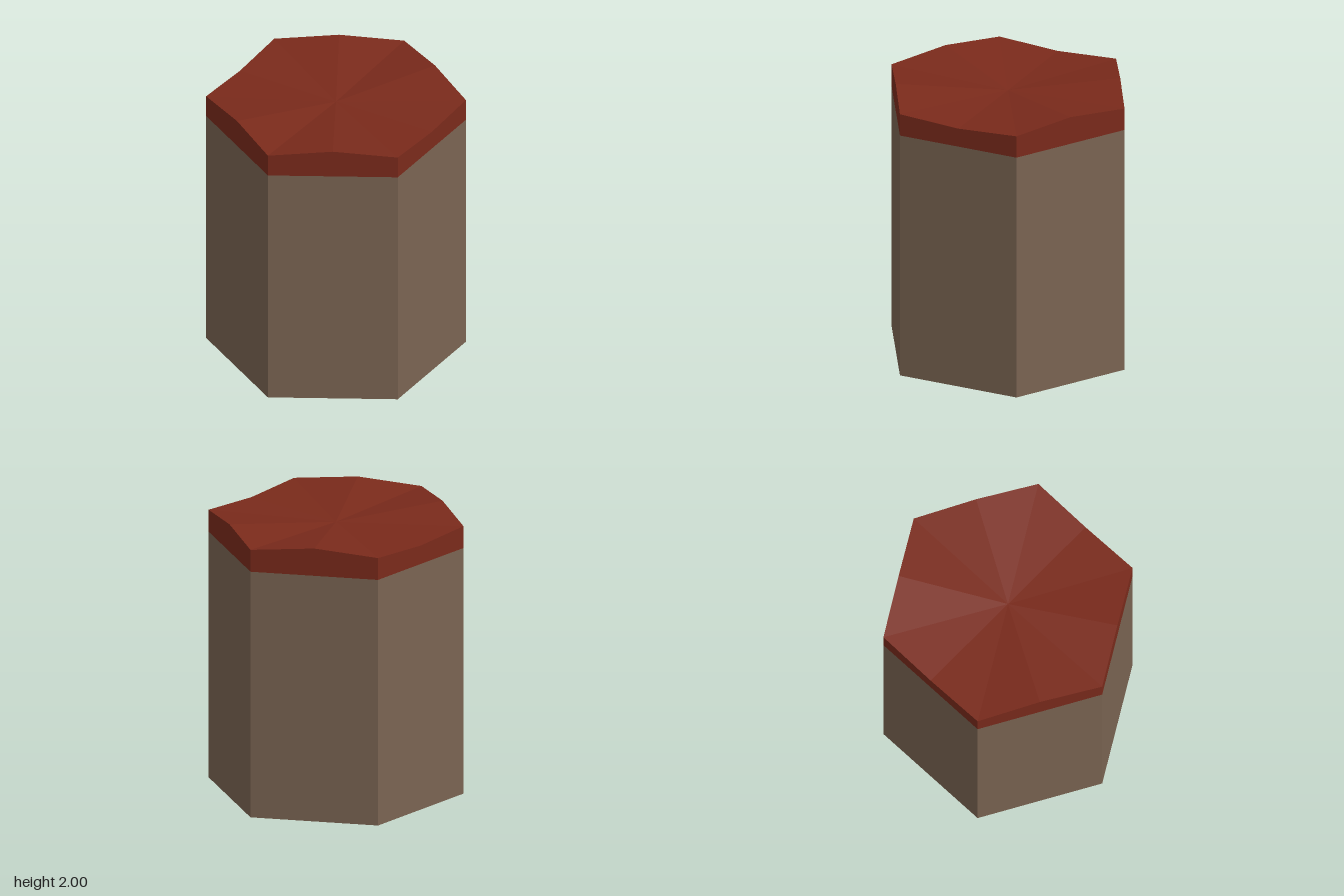
import * as THREE from 'three';

const R = 0.9, SEAM = 1.8, POCKET = 0.27;

// Hexagon corners, starting at the front (+z) and going towards +x
const corner = (i, y) => {
  const a = (i * Math.PI) / 3;
  return new THREE.Vector3(R * Math.sin(a), y, R * Math.cos(a));
};

// Flat-faced geometry from a list of triangles
function fromTriangles(triangles) {
  const g = new THREE.BufferGeometry().setFromPoints(triangles.flat());
  g.computeVertexNormals();
  return g;
}

export function createModel() {
  const group = new THREE.Group();
  const stone = new THREE.MeshStandardMaterial({ color: 0x7a6452, side: THREE.DoubleSide });
  const red = new THREE.MeshStandardMaterial({ color: 0x7a2a1b });
  const add = (name, triangles, material) => {
    const mesh = new THREE.Mesh(fromTriangles(triangles), material);
    mesh.name = name;
    group.add(mesh);
  };

  // Column walls
  const walls = [];
  for (let i = 0; i < 6; i++) {
    const a = corner(i, 0), b = corner(i + 1, 0);
    const c = corner(i + 1, SEAM), d = corner(i, SEAM);
    walls.push([a, b, c], [a, c, d]);
  }
  add('columnWalls', walls, stone);

  // Underside fans out from the back corner, leaving one open wedge
  const fan = (y, skip) => [4, 5, 6, 7]
    .filter((k) => k !== skip)
    .map((k) => [corner(3, y), corner(k + 1, y), corner(k, y)]);
  add('underside', fan(0, 5), stone);

  // Ceiling of the shallow pocket behind the open wedge
  add('pocketCeiling', fan(POCKET), stone);

  // Cap rim: corners level, four edge middles raised, the two side middles dipped
  const rim = [];
  for (let i = 0; i < 6; i++) {
    rim.push(corner(i, 1.96));
    const middle = corner(i, 0).add(corner(i + 1, 0)).multiplyScalar(0.5);
    middle.y = i % 3 === 1 ? 1.935 : 2;
    rim.push(middle);
  }

  // Cap sides and dished top
  const centre = new THREE.Vector3(0, 1.932, 0);
  const sides = [], top = [];
  rim.forEach((p, i) => {
    const q = rim[(i + 1) % rim.length];
    const p0 = p.clone().setY(SEAM), q0 = q.clone().setY(SEAM);
    sides.push([p0, q0, q], [p0, q, p]);
    top.push([centre, p, q]);
  });
  add('capSides', sides, red);
  add('capTop', top, red);

  return group;
}
